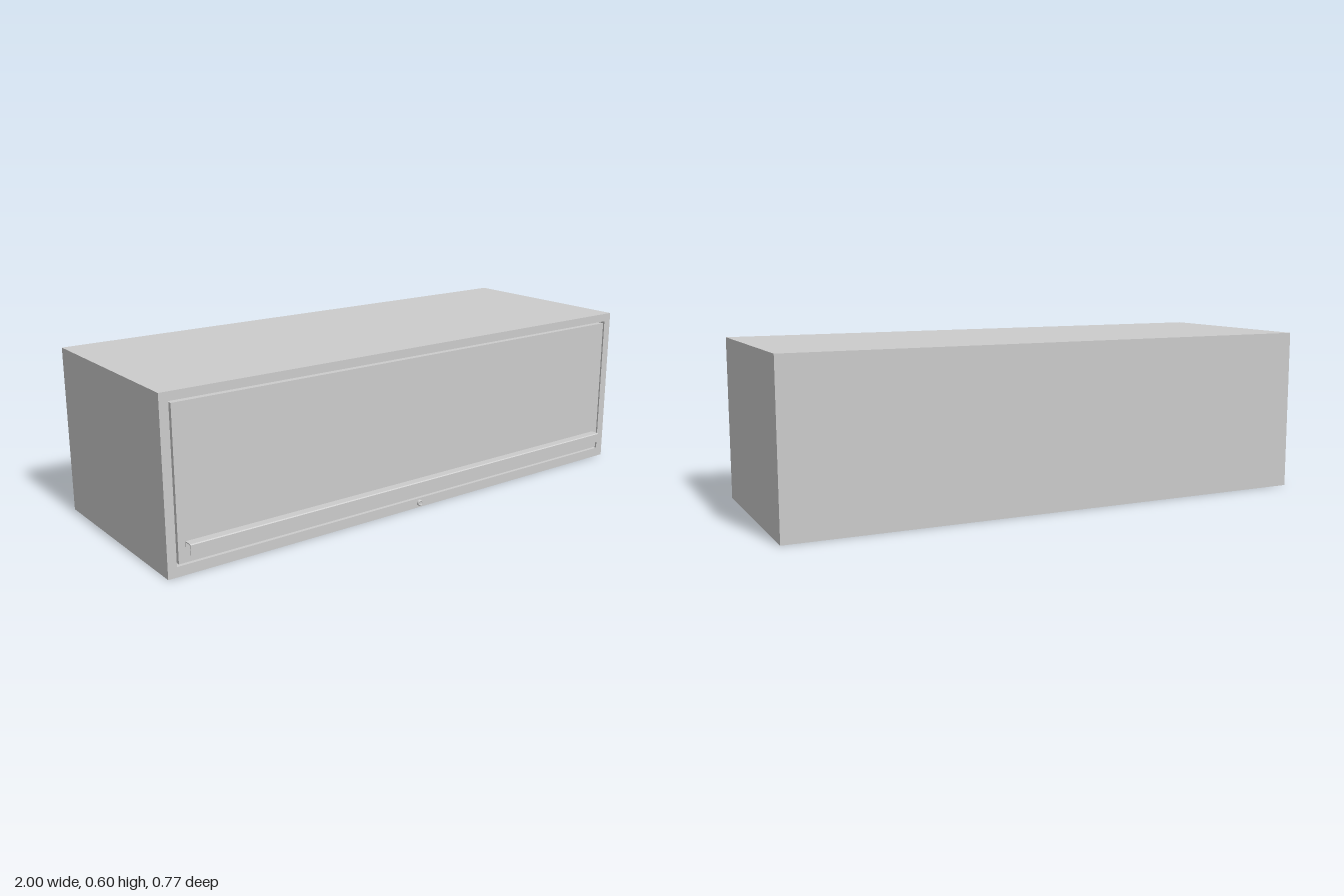
import * as THREE from 'three';

const material = new THREE.MeshStandardMaterial({ color: 0xcccccc });

function part(name, geometry, x = 0, y = 0, z = 0) {
  const mesh = new THREE.Mesh(geometry, material);
  mesh.name = name;
  mesh.position.set(x, y, z);
  return mesh;
}

function rectangle(path, x0, y0, x1, y1) {
  path.moveTo(x0, y0);
  path.lineTo(x1, y0);
  path.lineTo(x1, y1);
  path.lineTo(x0, y1);
  path.closePath();
  return path;
}

export function createModel() {
  const group = new THREE.Group();
  group.name = 'overheadCabinet';
  const front = 0.35, back = -0.383, backThickness = 0.02;
  const opening = { x: 0.968, y0: 0.035, y1: 0.57 };

  // Hollow carcass: top, bottom and sides around the door opening
  const shell = rectangle(new THREE.Shape(), -1, 0, 1, 0.6);
  shell.holes.push(rectangle(new THREE.Path(), -opening.x, opening.y0, opening.x, opening.y1));
  const depth = front - back - backThickness;
  group.add(part('carcass', new THREE.ExtrudeGeometry(shell, { depth, bevelEnabled: false }),
    0, 0, back + backThickness));
  group.add(part('backPanel', new THREE.BoxGeometry(2, 0.6, backThickness),
    0, 0.3, back + backThickness / 2));

  // Flush door with a narrow gap all round
  const gap = 0.007, thickness = 0.03;
  group.add(part('door',
    new THREE.BoxGeometry(2 * (opening.x - gap), opening.y1 - opening.y0 - 2 * gap, thickness),
    0, (opening.y0 + opening.y1) / 2, front - thickness / 2));

  // Bent sheet handle: mounting flange, top shelf and hanging lip (profile in z, y)
  const t = 0.003, tip = 0.383, top = 0.113, length = 1.87;
  const profile = new THREE.Shape([
    [front, 0.094], [front + t, 0.094], [front + t, top - t], [tip - 2 * t, top - t],
    [tip - t, top - 2 * t], [tip - t, 0.077], [tip, 0.077], [tip, top - t],
    [tip - t, top], [front, top],
  ].map(([z, y]) => new THREE.Vector2(z, y)));
  const handle = new THREE.ExtrudeGeometry(profile, { depth: length, bevelEnabled: false });
  handle.rotateY(-Math.PI / 2);
  group.add(part('handle', handle, length / 2));

  // Round lock with a sunken face and key slot
  const lock = new THREE.Group();
  lock.name = 'lock';
  lock.position.set(0.01, 0.018, front);
  const barrel = new THREE.LatheGeometry([
    [0.011, 0], [0.011, 0.006], [0.009, 0.008], [0.008, 0.008], [0.007, 0.006], [0, 0.006],
  ].map(([r, z]) => new THREE.Vector2(r, z)), 24);
  barrel.rotateX(Math.PI / 2);
  lock.add(part('lockBarrel', barrel));
  lock.add(part('keySlot', new THREE.BoxGeometry(0.002, 0.008, 0.001), 0, 0, 0.0065));
  group.add(lock);

  return group;
}
